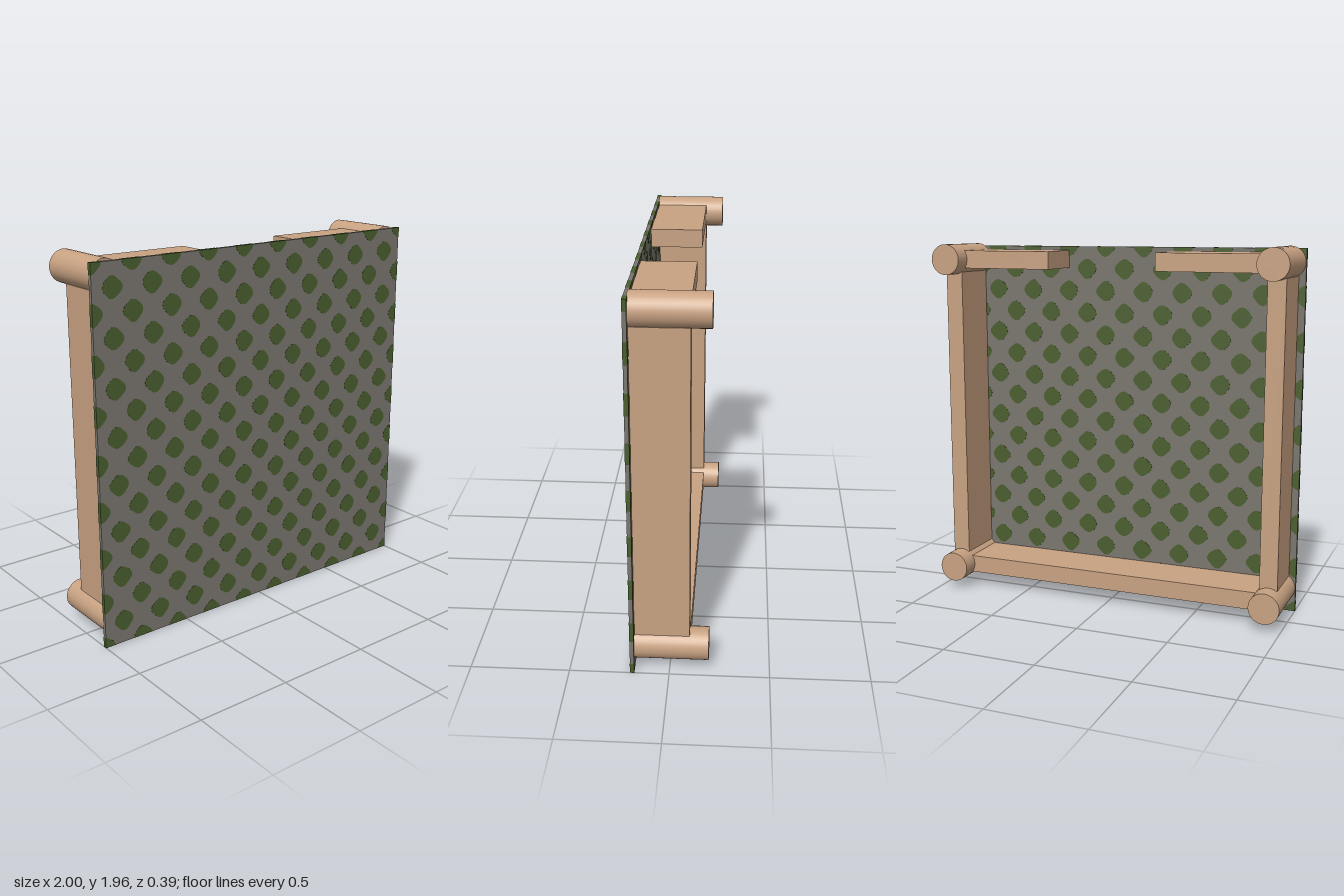
import * as THREE from 'three';

const WIDTH = 2, HEIGHT = 1.95;
const Z_BACK = 0.175, Z_FRONT = 0.195;   // ground plate
const LEFT = 0.907, RIGHT = -0.915;      // tower centres
const LOW = 0.128, HIGH = 1.88;

export function createModel() {
  const model = new THREE.Group();
  model.name = 'walledGround';
  const wood = new THREE.MeshStandardMaterial({ color: 0xc8a282 });
  wood.name = 'tan wood';
  const stone = new THREE.MeshStandardMaterial({ color: 0x7a766f });
  stone.name = 'grey ground';
  const moss = new THREE.MeshStandardMaterial({ color: 0x4a5e2e });
  moss.name = 'moss green';

  const add = (name, geometry, material, x, y, z, parent = model) => {
    const mesh = new THREE.Mesh(geometry, material);
    mesh.name = name;
    mesh.position.set(x, y, z);
    parent.add(mesh);
    return mesh;
  };

  // ground plate, standing upright
  add('groundPlate', new THREE.BoxGeometry(WIDTH, HEIGHT, Z_FRONT - Z_BACK), stone,
    0, HEIGHT / 2, (Z_FRONT + Z_BACK) / 2);

  // corner towers
  const towerGeometry = new THREE.CylinderGeometry(0.083, 0.083, 0.373, 32);
  towerGeometry.rotateX(Math.PI / 2);
  for (const [side, x] of [['left', LEFT], ['right', RIGHT]]) {
    for (const [level, y] of [['Lower', LOW], ['Upper', HIGH]]) {
      add(side + level + 'Tower', towerGeometry, wood, x, y, -0.0085);
    }
  }

  // walls between the towers, with a gateway in the upper one
  const wall = (name, x0, x1, y0, y1) => add(name,
    new THREE.BoxGeometry(x1 - x0, y1 - y0, 0.276), wood, (x0 + x1) / 2, (y0 + y1) / 2, 0.038);
  const t = 0.048;
  wall('leftWall', LEFT - t, LEFT + t, 0.198, 1.81);
  wall('rightWall', RIGHT - t, RIGHT + t, 0.198, 1.81);
  wall('lowerWall', -0.85, 0.84, LOW - t, LOW + t);
  wall('upperWallRight', -0.85, -0.277, HIGH - t, HIGH + t);
  wall('upperWallLeft', 0.33, 0.84, HIGH - t, HIGH + t);

  // staggered moss spots, running through the plate and trimmed at its edges
  let seed = 7;
  const random = () => (seed = (seed * 16807) % 2147483647) / 2147483647;
  const spots = new THREE.Group();
  spots.name = 'mossSpots';
  model.add(spots);
  const lip = 0.001;
  for (let row = 0; row <= 16; row++) {
    const odd = row % 2;
    for (let col = 0; col < 10 - odd; col++) {
      const cx = -1 + (col + odd / 2) * 2 / 9;
      const cy = row * HEIGHT / 16;
      const phase = random() * 6.28;
      const points = [];
      for (let i = 0; i < 24; i++) {
        const a = i / 24 * Math.PI * 2;
        const r = 0.0525 * (1 + 0.06 * Math.cos(4 * a) + 0.03 * Math.cos(3 * a + phase));
        const p = new THREE.Vector2(
          THREE.MathUtils.clamp(cx + r * Math.cos(a), -1 - lip, 1 + lip),
          THREE.MathUtils.clamp(cy + r * Math.sin(a), 0, HEIGHT + lip));
        if (!points.some((q) => q.distanceTo(p) < 1e-5)) points.push(p);
      }
      const geometry = new THREE.ExtrudeGeometry(new THREE.Shape(points),
        { depth: Z_FRONT - Z_BACK + 2 * lip, bevelEnabled: false });
      add('mossSpot', geometry, moss, 0, 0, Z_BACK - lip, spots);
    }
  }
  return model;
}
